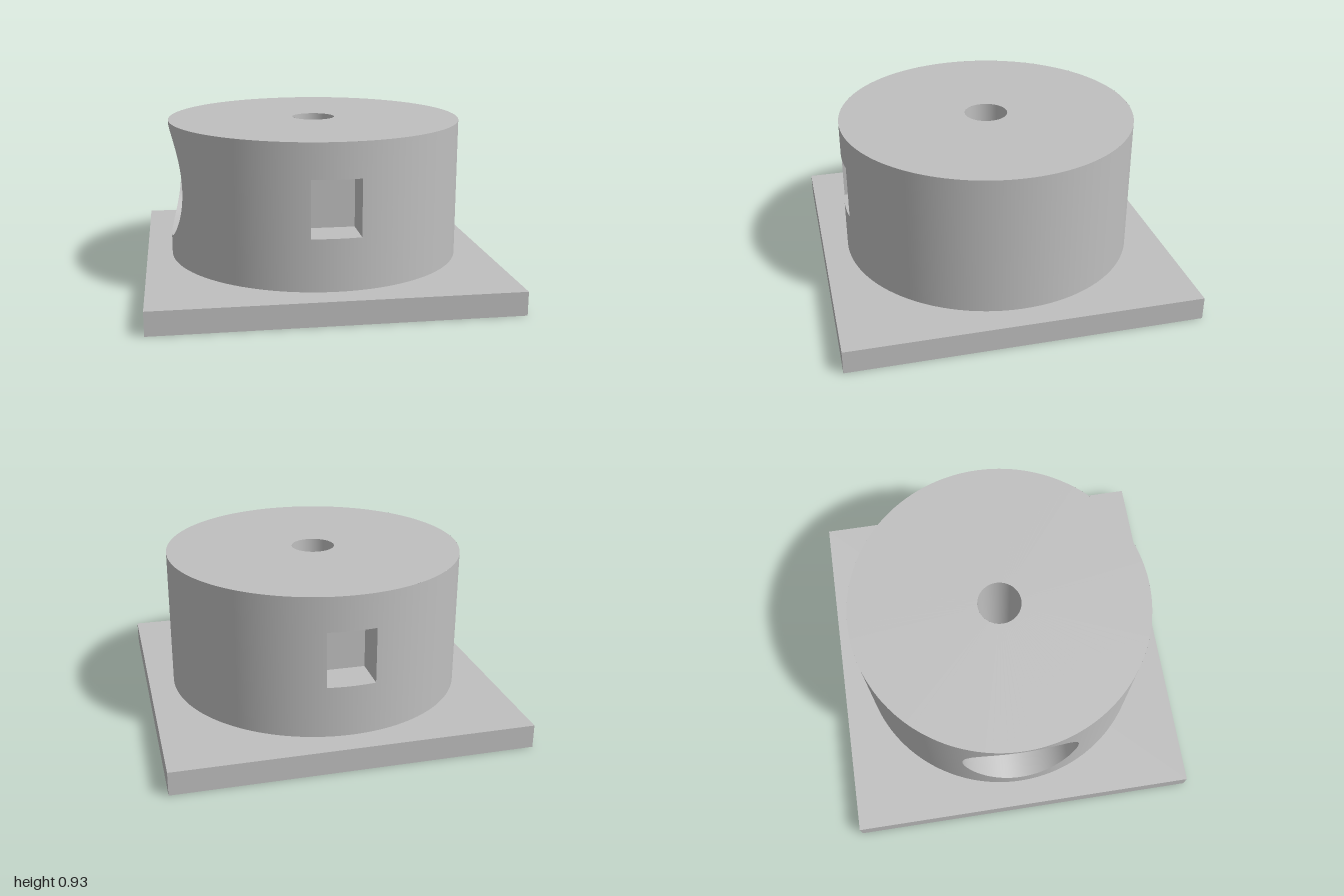
import * as THREE from 'three';
import { toCreasedNormals } from 'three/addons/utils/BufferGeometryUtils.js';

const R = 0.853, BASE = 0.133, TOP = 0.933; // drum radius, bottom, top
const MID = 0.58;                            // height of the opening centres
const WIN_W = 0.135, WIN_H = 0.157, WIN_BACK = 0.63; // window half sizes, back plane
const POCKET_R = 0.333, POCKET_BACK = 0.667;
const BORE_R = 0.124, WIRE_R = 0.057;

const onDrum = (a, y) => new THREE.Vector3(R * Math.sin(a), y, R * Math.cos(a));

// Angles from a to b, both included
const span = (a, b, n) => Array.from({ length: n + 1 }, (_, i) => a + (b - a) * i / n);

function quad(out, a, b, c, d) {
  for (const p of [a, b, c, a, c, d]) out.push(p.x, p.y, p.z);
}

function toGeometry(positions) {
  const g = new THREE.BufferGeometry();
  g.setAttribute('position', new THREE.Float32BufferAttribute(positions, 3));
  return g;
}

// Curved wall made of vertical strips that stop above and below each opening
function wallGeometry() {
  const winA = Math.asin(WIN_W / R), pocA = Math.asin(POCKET_R / R);
  const pocketAngles = span(Math.PI, 0, 48).map(f => Math.asin(POCKET_R * Math.cos(f) / R));
  const pocketHalf = t => Math.sqrt(Math.max(0, POCKET_R ** 2 - (R * Math.sin(t)) ** 2));
  const out = [];
  const strip = (angles, lo, hi) => {
    for (let i = 0; i < angles.length - 1; i++) {
      const [a, b] = [angles[i], angles[i + 1]];
      quad(out, onDrum(a, lo(a)), onDrum(b, lo(b)), onDrum(b, hi(b)), onDrum(a, hi(a)));
    }
  };
  const opening = (centre, local, half) => {
    const angles = local.map(t => t + centre);
    strip(angles, () => BASE, a => MID - half(a - centre));
    strip(angles, a => MID + half(a - centre), () => TOP);
  };
  const plain = (a, b, n) => strip(span(a, b, n), () => BASE, () => TOP);

  const windowAngles = span(-winA, winA, 8);
  opening(0, windowAngles, () => WIN_H);
  plain(winA, Math.PI - winA, 48);
  opening(Math.PI, windowAngles, () => WIN_H);
  plain(Math.PI + winA, 1.5 * Math.PI - pocA, 20);
  opening(1.5 * Math.PI, pocketAngles, pocketHalf);
  plain(1.5 * Math.PI + pocA, 2 * Math.PI - winA, 20);

  const g = toGeometry(out), n = [];
  for (let i = 0; i < out.length; i += 3) n.push(out[i] / R, 0, out[i + 2] / R);
  g.setAttribute('normal', new THREE.Float32BufferAttribute(n, 3));
  return g;
}

// Inner sides of a recess, from a closed rim back to a flat plane
function liningGeometry(rim, toBack) {
  const out = [];
  rim.forEach((p, i) => {
    const q = rim[(i + 1) % rim.length];
    quad(out, p, toBack(p), toBack(q), q);
  });
  return toCreasedNormals(toGeometry(out), 0.6);
}

export function createModel() {
  const grey = new THREE.MeshStandardMaterial({ color: 0xbfbfbf, side: THREE.DoubleSide });
  grey.name = 'light grey';
  const model = new THREE.Group();
  model.name = 'drumOnPlate';
  const add = (name, geometry, parent = model) => {
    const mesh = new THREE.Mesh(geometry, grey);
    mesh.name = name;
    parent.add(mesh);
    return mesh;
  };

  // Square base plate
  add('basePlate', new THREE.BoxGeometry(2, BASE, 2)).position.y = BASE / 2;

  // Drum wall, top face and central bore
  add('drumWall', wallGeometry());
  add('drumTop', new THREE.RingGeometry(BORE_R, R, 128).rotateX(-Math.PI / 2)).position.y = TOP;
  add('centreBore', new THREE.CylinderGeometry(BORE_R, BORE_R, TOP - BASE, 48, 1, true))
    .position.y = (TOP + BASE) / 2;

  // Rectangular windows at front and back
  const winA = Math.asin(WIN_W / R);
  const windowRim = [
    ...span(-winA, winA, 8).map(a => onDrum(a, MID - WIN_H)),
    ...span(winA, -winA, 8).map(a => onDrum(a, MID + WIN_H)),
  ];
  for (const [name, turn] of [['frontWindow', 0], ['backWindow', Math.PI]]) {
    const recess = new THREE.Group();
    recess.name = name;
    recess.rotation.y = turn;
    add(name + 'Sides', liningGeometry(windowRim, p => new THREE.Vector3(p.x, p.y, WIN_BACK)), recess);
    add(name + 'Floor', new THREE.PlaneGeometry(2 * WIN_W, 2 * WIN_H), recess)
      .position.set(0, MID, WIN_BACK);
    model.add(recess);
  }

  // Round side pocket with a small hole leading to the bore
  const pocketRim = span(0, 2 * Math.PI, 96).slice(0, -1).map(f => {
    const z = POCKET_R * Math.cos(f);
    return new THREE.Vector3(-Math.sqrt(R * R - z * z), MID + POCKET_R * Math.sin(f), z);
  });
  add('sidePocketSides', liningGeometry(pocketRim, p => new THREE.Vector3(-POCKET_BACK, p.y, p.z)));
  add('sidePocketFloor', new THREE.RingGeometry(WIRE_R, POCKET_R, 96).rotateY(-Math.PI / 2))
    .position.set(-POCKET_BACK, MID, 0);
  const length = POCKET_BACK - BORE_R + 0.01;
  add('wireHole', new THREE.CylinderGeometry(WIRE_R, WIRE_R, length, 32, 1, true).rotateZ(Math.PI / 2))
    .position.set(-POCKET_BACK + length / 2, MID, 0);

  return model;
}
